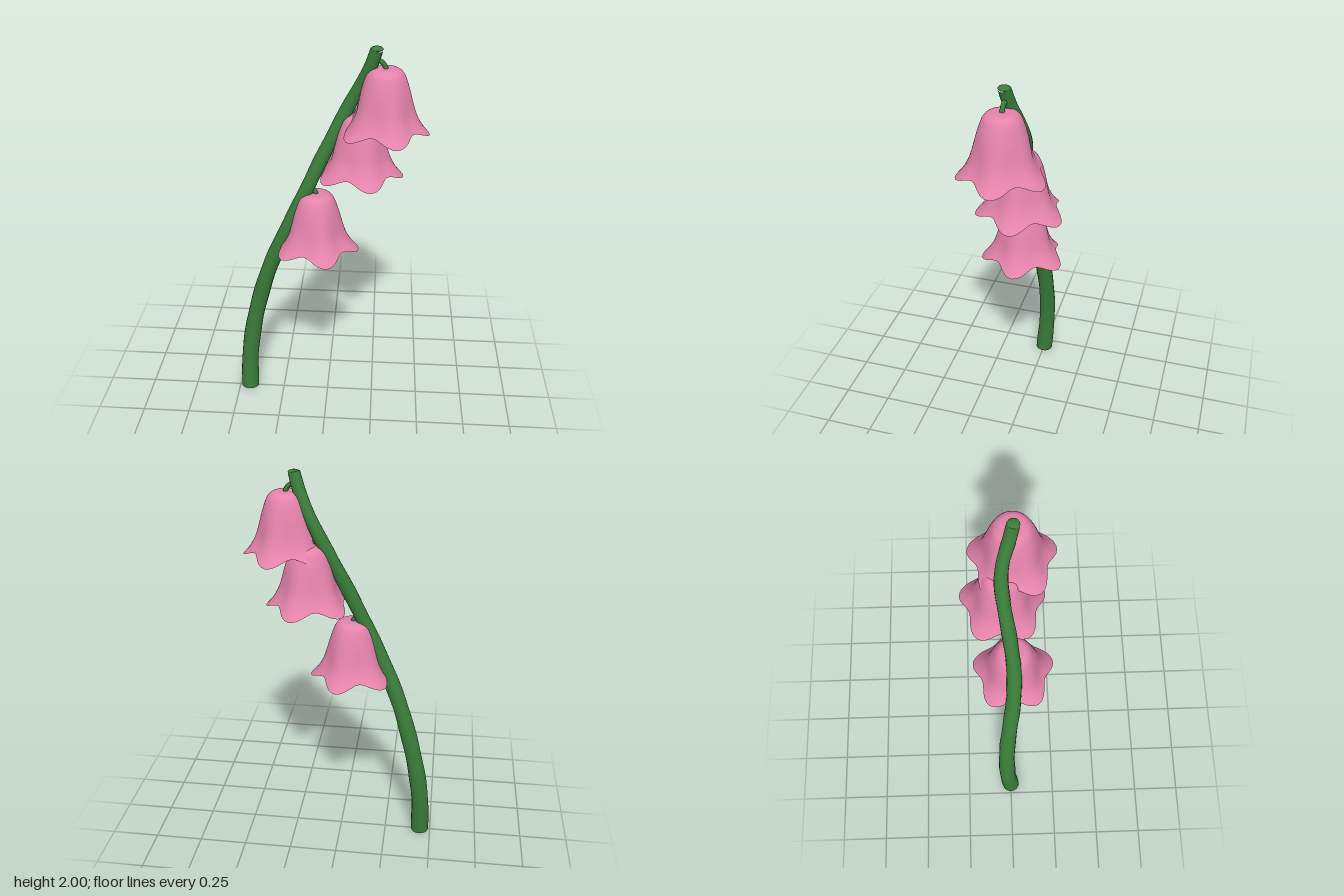
import * as THREE from 'three';
import { mergeVertices } from 'three/addons/utils/BufferGeometryUtils.js';

const mat = (name, color, side = THREE.FrontSide) => {
  const m = new THREE.MeshStandardMaterial({ color, side });
  m.name = name;
  return m;
};

function mesh(name, geometry, material) {
  const m = new THREE.Mesh(geometry, material);
  m.name = name;
  return m;
}

// Tube along a curve whose radius follows a rule of t
function taperedTube(curve, segments, sides, radiusAt) {
  const g = new THREE.TubeGeometry(curve, segments, 1, sides);
  const p = g.attributes.position, v = new THREE.Vector3();
  for (let i = 0; i <= segments; i++) {
    const c = curve.getPointAt(i / segments), r = radiusAt(i / segments);
    for (let j = 0; j <= sides; j++) {
      const k = i * (sides + 1) + j;
      v.fromBufferAttribute(p, k).sub(c).multiplyScalar(r).add(c);
      p.setXYZ(k, v.x, v.y, v.z);
    }
  }
  return g;
}

// Bell: turned profile with five lobes growing towards the rim; y = 0 at the crown
function bellGeometry() {
  const profile = new THREE.SplineCurve([
    [0.192, -0.298], [0.165, -0.262], [0.142, -0.215], [0.127, -0.16], [0.115, -0.11],
    [0.1, -0.06], [0.083, -0.022], [0.06, -0.003], [0.03, 0], [0.0001, 0],
  ].map(([x, y]) => new THREE.Vector2(x, y)));
  let g = new THREE.LatheGeometry(profile.getPoints(30), 60);
  const p = g.attributes.position;
  for (let i = 0; i < p.count; i++) {
    const x = p.getX(i), y = p.getY(i), z = p.getZ(i);
    const t = Math.min(1, -y / 0.298);
    const lobe = Math.cos(5 * Math.atan2(z, x)) * t * t;
    const s = 1 + 0.125 * lobe;
    p.setXYZ(i, x * s, y - 0.018 * lobe * t, z * s);
  }
  g.deleteAttribute('uv');
  g.deleteAttribute('normal');
  g = mergeVertices(g, 1e-5);
  g.computeVertexNormals();
  return g;
}

export function createModel() {
  const green = mat('stem green', 0x3a7d3a);
  const pink = mat('petal pink', 0xe583ab, THREE.DoubleSide);
  const gold = mat('pistil gold', 0xc99a2e);
  const model = new THREE.Group();
  model.name = 'bellflower';

  // Leaning, slightly wavy stem
  const path = new THREE.CatmullRomCurve3([
    [-0.443, 0.003, 0], [-0.437, 0.2, -0.015], [-0.41, 0.4, -0.022], [-0.365, 0.6, -0.018],
    [-0.305, 0.8, -0.002], [-0.225, 1, 0.018], [-0.135, 1.2, 0.022], [-0.045, 1.4, 0.004],
    [0.05, 1.6, -0.022], [0.105, 1.71, -0.03], [0.15, 1.8, -0.02], [0.2, 1.91, 0.01], [0.224, 1.99, 0.026],
  ].map((a) => new THREE.Vector3(...a)));
  const radius = (t) => 0.048 - 0.019 * t + 0.0012 * Math.sin(t * 47);
  model.add(mesh('stem', taperedTube(path, 80, 16, radius), green));

  // Stem ends
  const base = mesh('stemBase', new THREE.CircleGeometry(radius(0), 16), green);
  base.rotation.x = Math.PI / 2;
  base.position.copy(path.getPointAt(0));
  const tip = mesh('stemTip', new THREE.SphereGeometry(radius(1), 16, 10), green);
  tip.scale.y = 0.4;
  tip.position.copy(path.getPointAt(1));
  model.add(base, tip);

  // Hanging flowers: crown position and the point where the stalk leaves the stem
  const bell = bellGeometry();
  const flowers = [
    { crown: [0.268, 1.9, 0.024], from: [0.215, 1.94, 0.018] },
    { crown: [0.155, 1.655, -0.025], from: [0.085, 1.68, -0.028] },
    { crown: [-0.055, 1.255, 0.022], from: [-0.1, 1.285, 0.018] },
  ];
  flowers.forEach(({ crown, from }, i) => {
    const flower = new THREE.Group();
    flower.name = `flower${i + 1}`;
    flower.position.set(...crown);
    flower.add(mesh('bell', bell, pink));

    // Short stalk
    const start = new THREE.Vector3(...from).sub(flower.position);
    const arc = new THREE.QuadraticBezierCurve3(
      start, new THREE.Vector3(-0.005, start.y * 0.85, 0), new THREE.Vector3(0, -0.01, 0));
    flower.add(mesh('stalk', new THREE.TubeGeometry(arc, 10, 0.012, 8), green));

    // Filament and its bead
    const filament = mesh('filament', new THREE.CylinderGeometry(0.005, 0.005, 0.28, 8), gold);
    filament.position.y = -0.15;
    const bead = mesh('bead', new THREE.SphereGeometry(0.026, 16, 12), gold);
    bead.scale.y = 1.25;
    bead.position.y = -0.299;
    flower.add(filament, bead);
    model.add(flower);
  });
  return model;
}
